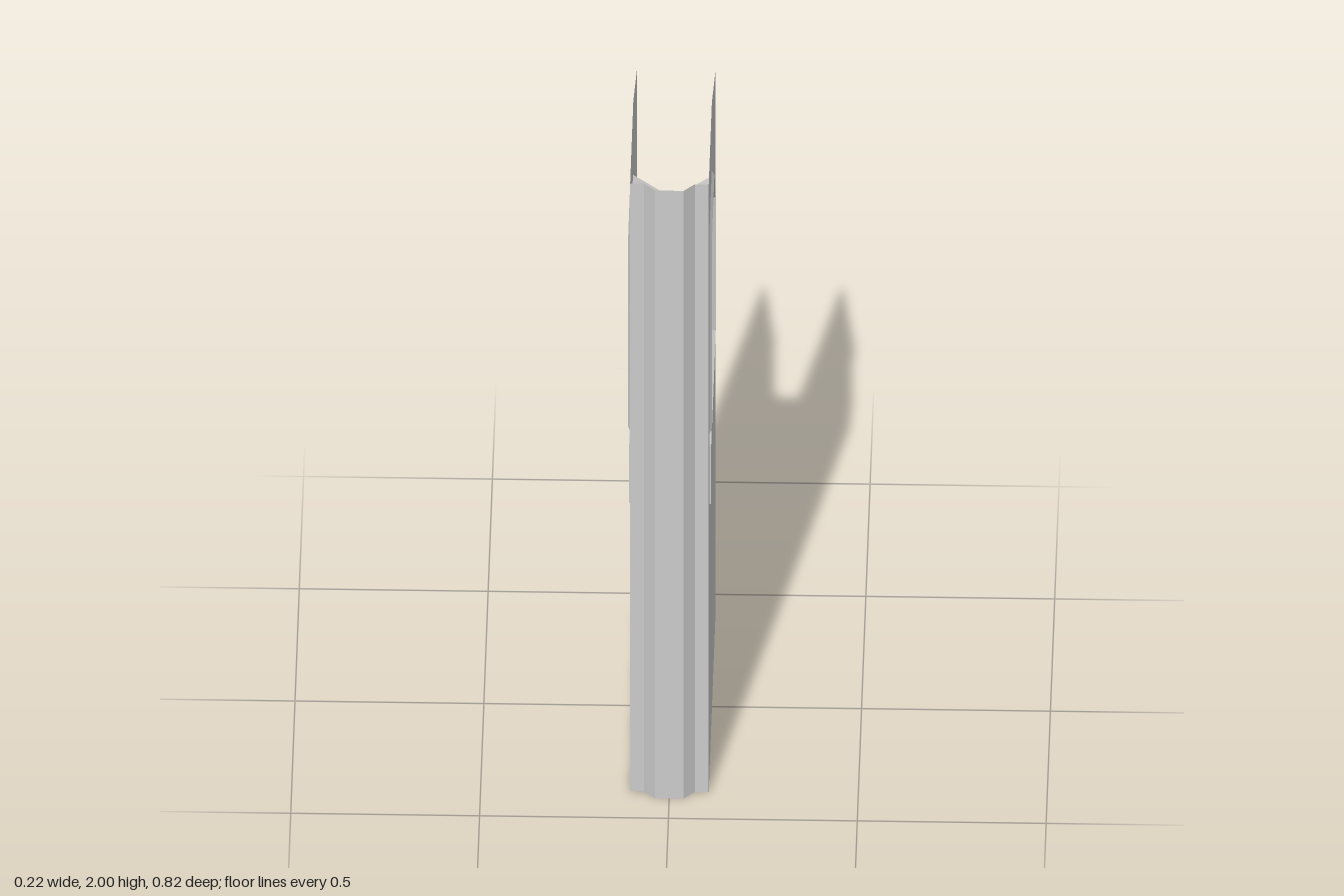
import * as THREE from 'three';

const SIDE = 0.104; // half distance between the two door skins
const material = new THREE.MeshStandardMaterial({
  color: 0xcccccc, flatShading: true, side: THREE.DoubleSide,
});

function mesh(name, geometry) {
  const m = new THREE.Mesh(geometry, material);
  m.name = name;
  return m;
}

// Joins rows of points with quads; closed rows wrap around
function loft(rows, closed) {
  const n = rows[0].length, index = [];
  for (let i = 0; i < rows.length - 1; i++) {
    for (let j = 0; j < (closed ? n : n - 1); j++) {
      const k = (j + 1) % n;
      const a = i * n + j, b = i * n + k, c = a + n, d = b + n;
      index.push(a, c, b, b, c, d);
    }
  }
  const g = new THREE.BufferGeometry();
  g.setAttribute('position', new THREE.Float32BufferAttribute(rows.flat(2), 3));
  g.setIndex(index);
  g.computeVertexNormals();
  return g;
}

// Side outlines are given as [z, y]
const points = (list) => list.map(([z, y]) => new THREE.Vector2(z, y));

const doorOutline = [[0.381, 0], [0.381, 2], [0.016, 2], [-0.411, 1.79], [-0.411, 0]];
const lipOuter = [[0.31, 1.785], [0.03, 1.785], [-0.145, 1.588], [-0.145, 1.125], [0.31, 1.125]];
const lipCrest = [[0.30, 1.77], [0.025, 1.77], [-0.133, 1.58], [-0.133, 1.14], [0.30, 1.14]];
const throat = [[0.26, 1.72], [0.037, 1.72], [-0.093, 1.565], [-0.093, 1.19], [0.26, 1.19]];
const handleOutline = [[0.312, 0.897], [0.25, 0.897], [0.226, 0.925],
  [0.226, 1.065], [0.25, 1.093], [0.312, 1.093]];

// Flat skin with window opening, facing outward on the given side
function doorSkin(side) {
  const shape = new THREE.Shape(points(doorOutline));
  shape.holes.push(new THREE.Path(points(lipOuter)));
  const g = new THREE.ShapeGeometry(shape).rotateY(-Math.PI / 2);
  if (side > 0) {
    g.index.array.reverse();
    g.computeVertexNormals();
  }
  return g.translate(side * SIDE, 0, 0);
}

// Thin plate lying on the skin
function handlePlate(side) {
  const depth = 0.012;
  return new THREE.ExtrudeGeometry(new THREE.Shape(points(handleOutline)), { depth, bevelEnabled: false })
    .translate(0, 0, -depth / 2)
    .rotateY(-Math.PI / 2)
    .translate(side * (SIDE - 0.001), 0, 0);
}

export function createModel() {
  const model = new THREE.Group();
  model.name = 'door';

  // Skins and handles on both sides
  for (const [label, side] of [['left', 1], ['right', -1]]) {
    model.add(mesh(label + 'Skin', doorSkin(side)));
    model.add(mesh(label + 'Handle', handlePlate(side)));
  }

  // Window surround: raised lips sloping in to a narrow throat
  const rings = [
    [lipOuter, SIDE], [lipCrest, 0.111], [throat, 0.028],
    [throat, -0.028], [lipCrest, -0.111], [lipOuter, -SIDE],
  ].map(([loop, x]) => loop.map(([z, y]) => [x, y, z]));
  model.add(mesh('windowSurround', loft(rings, true)));

  // Front edge with a raised central rib
  const edge = [[SIDE, 0.381], [0.067, 0.381], [0.038, 0.411],
    [-0.038, 0.411], [-0.067, 0.381], [-SIDE, 0.381]];
  model.add(mesh('frontEdge', loft([0, 2].map((y) => edge.map(([x, z]) => [x, y, z])), false)));

  return model;
}
